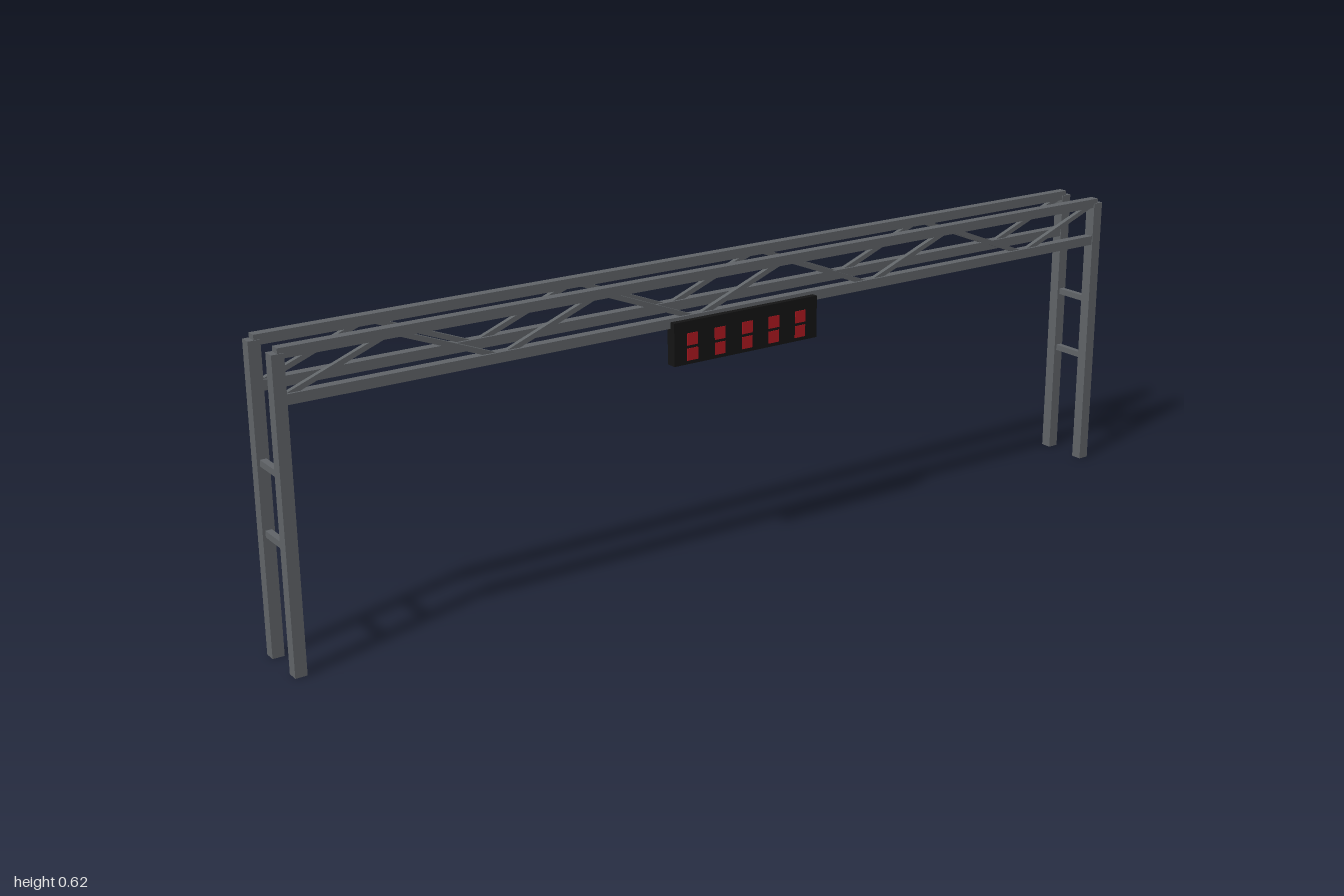
import * as THREE from 'three';

export function createModel() {
  const model = new THREE.Group();
  const steel = new THREE.MeshStandardMaterial({ color: 0x606468 });
  const black = new THREE.MeshStandardMaterial({ color: 0x141414 });
  const red = new THREE.MeshStandardMaterial({ color: 0xb01820 });

  const box = (name, w, h, d, x, y, z, material = steel, parent = model) => {
    const mesh = new THREE.Mesh(new THREE.BoxGeometry(w, h, d), material);
    mesh.name = name;
    mesh.position.set(x, y, z);
    parent.add(mesh);
    return mesh;
  };

  const endX = 0.988, frontZ = 0.044, backZ = -0.056;
  const topY = 0.61, bottomY = 0.525, bays = 9;

  // Two parallel frames: posts, chords and zigzag bracing
  for (const [side, z] of [['front', frontZ], ['back', backZ]]) {
    const frame = new THREE.Group();
    frame.name = side + 'Frame';
    model.add(frame);
    for (const s of [-1, 1]) box('post', 0.024, 0.61, 0.024, s * endX, 0.305, z, steel, frame);
    box('topChord', 2 * endX, 0.02, 0.02, 0, topY, z, steel, frame);
    box('bottomChord', 2 * endX, 0.02, 0.02, 0, bottomY, z, steel, frame);

    const step = 2 * endX / bays, rise = topY - bottomY;
    for (let i = 0; i < bays; i++) {
      const brace = box('diagonalBrace', Math.hypot(step, rise), 0.01, 0.01,
        -endX + (i + 0.5) * step, (topY + bottomY) / 2, z, steel, frame);
      brace.rotation.z = Math.atan2(rise, step) * (i % 2 ? -1 : 1);
    }
  }

  // Rungs joining the front and back posts
  for (const s of [-1, 1]) {
    for (const y of [0.247, 0.383]) {
      box('rung', 0.013, 0.013, frontZ - backZ, s * endX, y, (frontZ + backZ) / 2);
    }
  }

  // Sign box with two rows of start lights
  const sign = new THREE.Group();
  sign.name = 'lightSign';
  model.add(sign);
  box('signPanel', 0.352, 0.088, 0.023, 0, 0.484, 0.0555, black, sign);
  for (let col = -2; col <= 2; col++) {
    for (const y of [0.46, 0.491]) {
      box('lamp', 0.026, 0.025, 0.004, col * 0.0665, y, 0.066, red, sign);
    }
  }

  return model;
}
